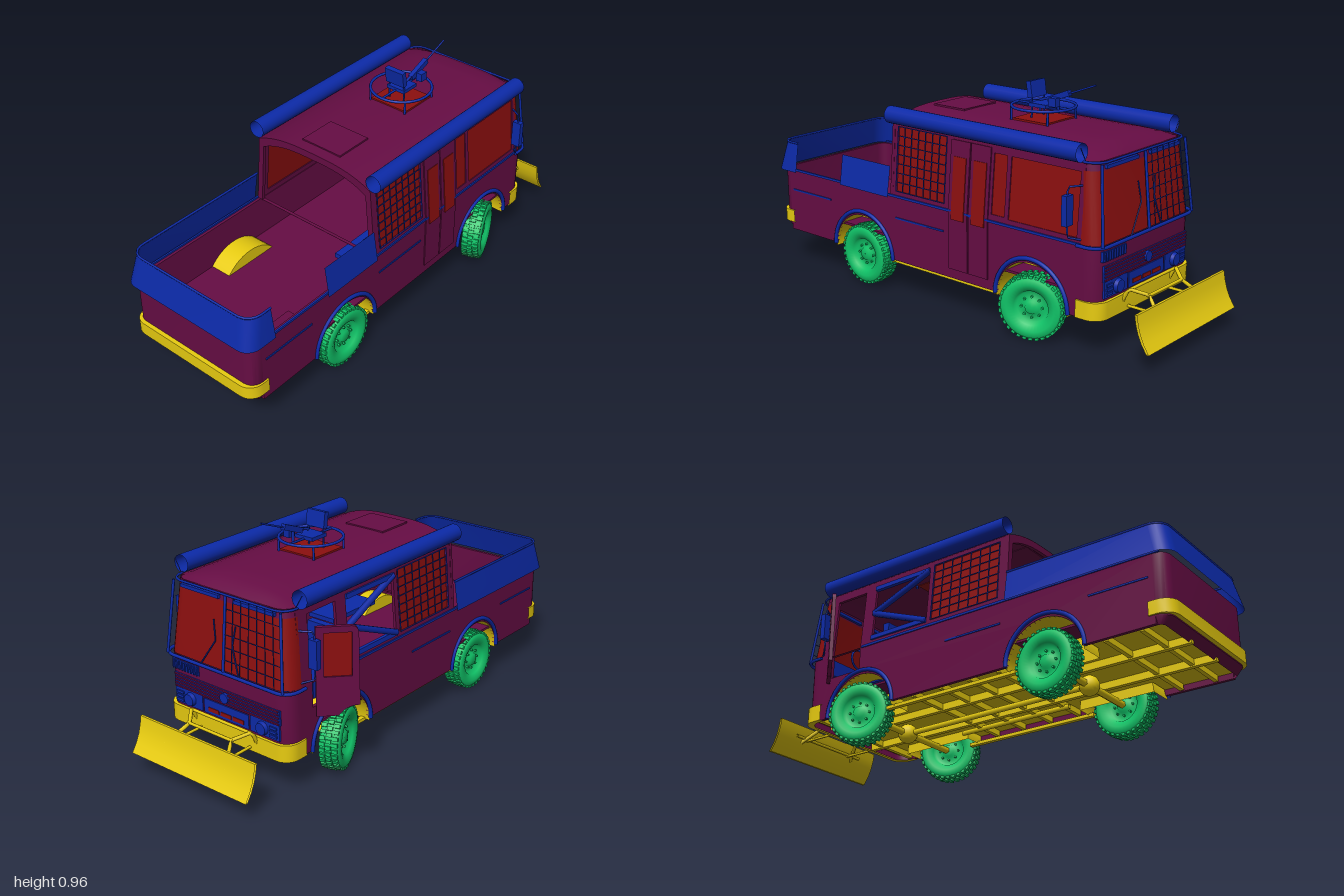
import * as THREE from 'three';
import { mergeGeometries, toCreasedNormals } from 'three/addons/utils/BufferGeometryUtils.js';

const mat = (color) => new THREE.MeshStandardMaterial({ color, side: THREE.DoubleSide });
const V = (x, y, z) => new THREE.Vector3(x, y, z);

export function createModel() {
  const PAINT = mat(0x660d44), RED = mat(0x8c0f0f), BLUE = mat(0x0c2aa8), GREEN = mat(0x10c468), YELLOW = mat(0xe8cc10);
  const root = new THREE.Group();
  root.name = 'truck';
  const truck = new THREE.Group();
  truck.name = 'truckBody';
  truck.position.z = 0.036;
  root.add(truck);

  const add = (name, geo, m, parent = truck) => {
    const mesh = new THREE.Mesh(geo, m);
    mesh.name = name;
    parent.add(mesh);
    return mesh;
  };
  // box given by its limits on each axis
  const box = (name, m, x0, x1, y0, y1, z0, z1, parent) => {
    const b = add(name, new THREE.BoxGeometry(x1 - x0, y1 - y0, z1 - z0), m, parent);
    b.position.set((x0 + x1) / 2, (y0 + y1) / 2, (z0 + z1) / 2);
    return b;
  };
  // bent pipe through straight segments
  const pipe = (name, m, r, pts, parent) => {
    const path = new THREE.CurvePath();
    for (let i = 1; i < pts.length; i++) path.add(new THREE.LineCurve3(pts[i - 1], pts[i]));
    return add(name, new THREE.TubeGeometry(path, Math.max(1, (pts.length - 1) * 4), r, 6), m, parent);
  };
  // surface through rows of points
  const loft = (name, m, rows) => {
    const pos = [], idx = [], n = rows[0].length;
    rows.forEach((row) => row.forEach((p) => pos.push(p.x, p.y, p.z)));
    for (let i = 0; i + 1 < rows.length; i++) for (let j = 0; j + 1 < n; j++) {
      const a = i * n + j;
      idx.push(a, a + 1, a + n, a + 1, a + n + 1, a + n);
    }
    const g = new THREE.BufferGeometry();
    g.setAttribute('position', new THREE.Float32BufferAttribute(pos, 3));
    g.setIndex(idx);
    return add(name, toCreasedNormals(g, 0.6), m);
  };
  // rounded U-shaped plan from one side around an end to the other
  const plan = (x0, x1, hw, y, r = 0.06) => {
    const s = Math.sign(x1 - x0), half = [V(x0, y, hw)];
    for (let i = 0; i <= 6; i++) {
      const t = (i / 6) * Math.PI / 2;
      half.push(V(x1 - s * r * (1 - Math.sin(t)), y, hw - r + r * Math.cos(t)));
    }
    return [...half, ...half.slice().reverse().map((p) => V(p.x, p.y, -p.z))];
  };
  const rect = (x0, x1, y0, y1, T = THREE.Path) => new T([[x0, y0], [x1, y0], [x1, y1], [x0, y1]].map((p) => new THREE.Vector2(...p)));
  const extrude = (s, depth) => new THREE.ExtrudeGeometry(s, { depth, bevelEnabled: false, curveSegments: 20 });
  const grid = (name, x0, x1, y0, y1, nx, ny, z, parent) => {
    for (let i = 0; i <= nx; i++) { const x = x0 + (x1 - x0) * i / nx; box(name, BLUE, x - 0.0015, x + 0.0015, y0, y1, z - 0.0015, z + 0.0015, parent); }
    for (let i = 0; i <= ny; i++) { const y = y0 + (y1 - y0) * i / ny; box(name, BLUE, x0, x1, y - 0.0015, y + 0.0015, z - 0.0015, z + 0.0015, parent); }
  };

  const AXLES = [-0.45, 0.47], WHEEL_Y = 0.135, ARCH = 0.172;

  // lower body sides with wheel arches; the -z side has the foot of a door opening
  for (const s of [1, -1]) {
    const sh = new THREE.Shape();
    sh.moveTo(-0.92, 0.15);
    for (const x of AXLES) {
      sh.lineTo(x - ARCH, 0.15);
      sh.absarc(x, WHEEL_Y, ARCH, Math.PI - 0.09, 0.09, true);
    }
    sh.lineTo(0.7, 0.15); sh.lineTo(0.7, 0.43);
    if (s < 0) [[0.64, 0.43], [0.64, 0.33], [0.48, 0.33], [0.48, 0.43]].forEach((p) => sh.lineTo(...p));
    sh.lineTo(-0.92, 0.43);
    add('lowerSide', extrude(sh, 0.015), PAINT).position.z = s > 0 ? 0.3 : -0.315;
    box('sideTrim', BLUE, -0.95, s > 0 ? 0.7 : 0.47, 0.427, 0.437, s * 0.316 - 0.004, s * 0.316 + 0.004);
    for (const [x0, x1] of [[-0.9, -0.65], [-0.25, 0.02]]) box('sideMolding', BLUE, x0, x1, 0.335, 0.342, s * 0.315 - 0.004, s * 0.315 + 0.004);
    box('sillRail', YELLOW, -0.3, 0.34, 0.128, 0.142, s * 0.28 - 0.01, s * 0.28 + 0.01);
    for (const x of AXLES) {
      const trim = add('archTrim', new THREE.TorusGeometry(0.177, 0.009, 8, 28, Math.PI), BLUE);
      trim.position.set(x, WHEEL_Y + 0.012, s * 0.316);
      // wheel housing: half drum with an inner wall
      const drum = add('wheelHousing', new THREE.CylinderGeometry(ARCH, ARCH, 0.11, 24, 1, true, Math.PI / 2, Math.PI), YELLOW);
      drum.rotation.x = Math.PI / 2;
      drum.position.set(x, WHEEL_Y, s * 0.258);
      add('housingWall', new THREE.CircleGeometry(ARCH, 24, 0, Math.PI), YELLOW).position.set(x, WHEEL_Y, s * 0.203);
    }
  }
  loft('frontEnd', PAINT, [plan(0.7, 0.765, 0.315, 0.15), plan(0.7, 0.778, 0.315, 0.22), plan(0.7, 0.778, 0.315, 0.435)]);
  loft('rearEnd', PAINT, [plan(-0.92, -0.94, 0.3, 0.15, 0.02), plan(-0.92, -0.972, 0.315, 0.18, 0.05), plan(-0.92, -0.972, 0.315, 0.43, 0.05)]);
  loft('rearInner', PAINT, [plan(-0.92, -0.972, 0.315, 0.43, 0.05), plan(-0.92, -0.957, 0.3, 0.43, 0.04), plan(-0.92, -0.957, 0.3, 0.25, 0.04)]);
  box('floor', PAINT, -0.95, 0.74, 0.24, 0.25, -0.305, 0.305);
  box('bedBox', PAINT, -0.81, -0.62, 0.25, 0.3, 0.165, 0.3);

  // bumpers
  const bumper = (name, x0, x1, y0, y1) => {
    const s = Math.sign(x1) * 0.02;
    loft(name, YELLOW, [plan(x0, x1 - s, 0.3, y1), plan(x0, x1, 0.322, y1), plan(x0, x1, 0.322, y0), plan(x0, x1 - s, 0.3, y0)]);
  };
  bumper('frontBumper', 0.685, 0.79, 0.15, 0.22);
  bumper('rearBumper', -0.895, -0.99, 0.185, 0.24);

  // armour boards round the load bed, leaning inward at the top
  const boards = (a, b) => loft('bedBoard', BLUE, [a, b]);
  const low = plan(-0.28, -1, 0.332, 0.425), high = plan(-0.28, -0.968, 0.312, 0.555);
  const clip = (row) => row.map((p, i) => (i === 0 ? V(-0.86, p.y, p.z) : p));
  boards(clip(low), clip(high));
  boards([V(-0.57, 0.425, 0.332), V(-0.28, 0.425, 0.332)], [V(-0.57, 0.555, 0.312), V(-0.28, 0.555, 0.312)]);
  pipe('boardRim', BLUE, 0.005, clip(high));

  // cab side walls, tilted inward
  for (const s of [1, -1]) {
    const wall = new THREE.Group();
    wall.name = 'cabSide';
    wall.position.set(0, 0.43, s * 0.315);
    wall.rotation.x = -s * 0.088;
    truck.add(wall);
    const windows = s > 0
      ? [[-0.245, 0.025, 0.025, 0.295, 'net'], [0.27, 0.335, 0.03, 0.27, 'glass'], [0.355, 0.68, 0.025, 0.27, 'glass']]
      : [[-0.235, 0.1, 0.025, 0.285, 'net'], [0.125, 0.42, 0.03, 0.27, 'brace'], [0.48, 0.64, 0.001, 0.27, 'open']];
    const sh = rect(-0.28, 0.7, 0, 0.31, THREE.Shape);
    for (const [x0, x1, y0, y1, type] of windows) {
      sh.holes.push(rect(x0, x1, y0, y1));
      if (type === 'net' || type === 'glass') box('sideGlass', RED, x0, x1, y0, y1, -s * 0.006 - 0.002, -s * 0.006 + 0.002, wall);
      if (type === 'net') grid('windowNet', x0, x1, y0, y1, 7, 7, s * 0.004, wall);
      if (type === 'brace') {
        const ym = (y0 + y1) / 2;
        for (const pts of [[V(x0, y0, 0), V(x1, ym, 0)], [V(x1, ym, 0), V(x0, y1, 0)]]) pipe('windowBrace', BLUE, 0.014, pts, wall);
        for (const y of [y0, y1]) box('braceRail', BLUE, x0, x1, y - 0.01, y + 0.01, -0.008, 0.008, wall);
      }
    }
    add('cabWall', extrude(sh, 0.012), PAINT, wall).position.z = s > 0 ? -0.012 : 0;
    // folding double door
    if (s > 0) for (const x of [0.05, 0.156]) {
      box('doorLeaf', PAINT, x, x + 0.1, 0, 0.29, 0, 0.005, wall);
      box('doorLeafLower', PAINT, x, x + 0.1, 0.19, 0.43, 0.315, 0.32);
      box('doorGlass', RED, x + 0.018, x + 0.084, -0.03, 0.225, 0.002, 0.008, wall);
    }
    // rolled awning, roof antenna, mirror
    const roll = add('rolledAwning', new THREE.CylinderGeometry(0.036, 0.036, 0.97, 20, 1, true), BLUE);
    roll.rotation.z = Math.PI / 2;
    roll.position.set(0.205, 0.772, s * 0.303);
    pipe('antenna', BLUE, 0.0018, [V(0.7, 0.735, s * 0.29), V(0.7, 0.795, s * 0.325)]);
    const mz = s * 0.345;
    box('mirror', BLUE, 0.648, 0.672, 0.505, 0.62, mz - 0.02, mz + 0.02);
    pipe('mirrorBracket', BLUE, 0.004, [V(0.69, 0.65, s * 0.295), V(0.66, 0.65, mz), V(0.66, 0.46, mz), V(0.7, 0.45, s * 0.31)]);
  }

  // windscreen and its guard frame
  loft('windscreen', RED, [plan(0.7, 0.776, 0.315, 0.435), plan(0.7, 0.748, 0.291, 0.705)]);
  loft('windscreenHeader', PAINT, [plan(0.7, 0.748, 0.291, 0.705), plan(0.7, 0.744, 0.288, 0.74)]);
  const at = (y, z) => V(0.788 - (y - 0.435) * 0.1, y, z * (1 - (y - 0.435) * 0.29));
  pipe('guardSill', BLUE, 0.007, plan(0.69, 0.79, 0.328, 0.432));
  pipe('guardTop', BLUE, 0.005, plan(0.69, 0.758, 0.294, 0.738));
  for (const z of [-0.3, 0, 0.3]) pipe('guardPost', BLUE, 0.006, [at(0.435, z), at(0.735, z)]);
  for (let i = 1; i < 7; i++) pipe('guardNet', BLUE, 0.0018, [at(0.44, -0.043 * i), at(0.735, -0.043 * i)]);
  for (let i = 1; i < 6; i++) pipe('guardNet', BLUE, 0.0018, [at(0.435 + 0.05 * i, 0), at(0.435 + 0.05 * i, -0.3)]);
  for (const s of [1, -1]) {
    pipe('wiper', BLUE, 0.003, [at(0.435, s * 0.1 + 0.02), at(0.55, s * 0.045), at(0.63, s * 0.06)]);
    box('headerBar', BLUE, 0.735, 0.758, 0.712, 0.726, s * 0.14 - 0.1, s * 0.14 + 0.1);
  }

  // front fascia
  box('grille', BLUE, 0.765, 0.781, 0.295, 0.357, -0.277, 0.277);
  for (let i = 0; i < 5; i++) box('grilleBar', PAINT, 0.77, 0.786, 0.298 + i * 0.013, 0.304 + i * 0.013, -0.272, 0.272);
  const disc = add('grilleDisc', new THREE.CylinderGeometry(0.021, 0.021, 0.012, 24), BLUE);
  disc.rotation.z = Math.PI / 2;
  disc.position.set(0.786, 0.326, 0);
  box('centrePanel', BLUE, 0.765, 0.782, 0.23, 0.29, -0.118, 0.118);
  for (const z of [-0.065, 0, 0.065]) box('redMarker', RED, 0.77, 0.785, 0.243, 0.259, z - 0.028, z + 0.028);
  box('airVent', BLUE, 0.76, 0.781, 0.373, 0.413, 0.14, 0.285);
  for (let i = 0; i < 9; i++) box('ventSlat', BLUE, 0.77, 0.787, 0.375, 0.411, 0.146 + i * 0.016, 0.151 + i * 0.016);
  for (const s of [1, -1]) {
    box('lampHousing', BLUE, 0.76, 0.782, 0.23, 0.295, s * 0.2 - 0.074, s * 0.2 + 0.074);
    const lamp = add('headlamp', new THREE.CylinderGeometry(0.024, 0.029, 0.02, 24), BLUE);
    lamp.rotation.z = -Math.PI / 2;
    lamp.position.set(0.787, 0.262, s * 0.19);
    for (let i = 0; i < 3; i++) box('lampSlat', BLUE, 0.775, 0.788, 0.24 + i * 0.017, 0.25 + i * 0.017, s * 0.245 - 0.018, s * 0.245 + 0.018);
  }

  // domed roof, open rear frame and hatch
  const section = (x, hw, y0, h) => Array.from({ length: 17 }, (_, i) => {
    const t = i / 8 - 1;
    return V(x, y0 + h * (1 - Math.abs(t) ** 3), t * hw);
  });
  loft('roof', PAINT, [[-0.28, 0.29, 0.735, 0.049], [0.6, 0.29, 0.735, 0.049], [0.68, 0.289, 0.735, 0.042], [0.72, 0.275, 0.735, 0.028], [0.745, 0.23, 0.735, 0.005]].map((a) => section(...a)));
  const dome = section(0, 0.29, 0.735, 0.048).map((p) => new THREE.Vector2(p.z, p.y));
  const rear = new THREE.Shape([...dome, new THREE.Vector2(0.315, 0.43), new THREE.Vector2(-0.315, 0.43)]);
  rear.holes.push(new THREE.Path([...dome.map((p) => new THREE.Vector2(p.x * 0.92, p.y - 0.03)), new THREE.Vector2(0.29, 0.431), new THREE.Vector2(-0.29, 0.431)]));
  const frame = add('rearFrame', extrude(rear, 0.015), PAINT);
  frame.rotation.y = Math.PI / 2;
  frame.position.x = -0.28;
  box('roofHatch', PAINT, -0.23, -0.06, 0.78, 0.789, -0.097, 0.097);

  // roof turret: ring on posts, seat, shield and gun
  const ring = add('turretRing', new THREE.TorusGeometry(0.128, 0.006, 8, 40), BLUE);
  ring.rotation.x = Math.PI / 2;
  ring.position.set(0.275, 0.838, 0);
  box('turretHatch', RED, 0.19, 0.36, 0.78, 0.79, -0.09, 0.09);
  for (let i = 0; i < 4; i++) {
    const a = Math.PI / 4 + i * Math.PI / 2, c = Math.cos(a), d = Math.sin(a);
    pipe('ringPost', BLUE, 0.005, [V(0.275 + c * 0.128, 0.77, d * 0.128), V(0.275 + c * 0.128, 0.838, d * 0.128)]);
  }
  pipe('ringRail', BLUE, 0.005, [V(0.15, 0.838, 0), V(0.4, 0.838, 0)]);
  for (const s of [1, -1]) pipe('seatPost', BLUE, 0.004, [V(0.245, 0.78, s * 0.038), V(0.245, 0.88, s * 0.038)]);
  box('seatPad', BLUE, 0.235, 0.32, 0.835, 0.85, -0.045, 0.045);
  box('shield', BLUE, 0.226, 0.248, 0.868, 0.935, -0.046, 0.046).rotation.z = 0.15;
  pipe('gunMount', BLUE, 0.006, [V(0.36, 0.835, 0.018), V(0.36, 0.885, 0.018)]);
  pipe('gunBarrel', BLUE, 0.004, [V(0.4, 0.9, 0.018), V(0.538, 0.953, 0.018)]);
  box('gunBody', BLUE, 0.31, 0.42, 0.877, 0.9, 0.008, 0.028).rotation.z = 0.37;
  pipe('gunStock', BLUE, 0.006, [V(0.27, 0.862, 0.018), V(0.33, 0.88, 0.018)]);
  box('ammoBox', BLUE, 0.34, 0.375, 0.85, 0.885, 0.026, 0.055);

  // opened front door
  const door = new THREE.Group();
  door.name = 'openDoor';
  door.position.set(0.635, 0, -0.325);
  door.rotation.y = 2.377;
  truck.add(door);
  const leaf = new THREE.Shape();
  leaf.moveTo(0, 0.3); leaf.lineTo(0.085, 0.3);
  leaf.quadraticCurveTo(0.11, 0.34, 0.165, 0.34);
  leaf.lineTo(0.16, 0.635); leaf.quadraticCurveTo(0.155, 0.66, 0.13, 0.66); leaf.lineTo(0, 0.66);
  leaf.holes.push(rect(0.03, 0.135, 0.46, 0.635));
  add('doorPanel', extrude(leaf, 0.016), PAINT, door);
  box('doorWindow', RED, 0.03, 0.135, 0.46, 0.635, 0.006, 0.01, door);

  // cab interior
  box('benchSeat', BLUE, -0.29, 0, 0.34, 0.36, 0.12, 0.26);
  box('benchBack', BLUE, -0.29, 0, 0.38, 0.5, 0.265, 0.28);
  box('dashboard', BLUE, 0.66, 0.74, 0.36, 0.43, -0.28, 0.28);
  for (const s of [1, -1]) {
    box('cabSeat', BLUE, 0.42, 0.54, 0.3, 0.37, s * 0.17 - 0.06, s * 0.17 + 0.06);
    box('cabSeatBack', BLUE, 0.4, 0.43, 0.37, 0.56, s * 0.17 - 0.06, s * 0.17 + 0.06);
  }
  const steering = add('steeringWheel', new THREE.TorusGeometry(0.045, 0.005, 6, 24), BLUE);
  steering.position.set(0.62, 0.46, -0.17);
  steering.rotation.y = Math.PI / 2;

  // underside: plate notched round the wheels, rails, crossmembers, axles
  const half = [[-0.95, 0.3], [-0.62, 0.3], [-0.62, 0.2], [-0.28, 0.2], [-0.28, 0.3], [0.3, 0.3], [0.3, 0.2], [0.64, 0.2], [0.64, 0.3], [0.76, 0.29]];
  const belly = new THREE.Shape([...half, ...half.slice().reverse().map(([x, z]) => [x, -z])].map((p) => new THREE.Vector2(...p)));
  const plate = add('bellyPlate', extrude(belly, 0.01), YELLOW);
  plate.rotation.x = Math.PI / 2;
  plate.position.y = 0.185;
  for (const s of [1, -1]) box('chassisRail', YELLOW, -0.95, 0.76, 0.145, 0.175, s * 0.1 - 0.01, s * 0.1 + 0.01);
  for (const x of [-0.85, -0.7, -0.22, -0.08, 0.06, 0.2, 0.7]) box('crossMember', YELLOW, x - 0.009, x + 0.009, 0.15, 0.175, -0.29, 0.29);
  pipe('driveShaft', YELLOW, 0.012, [V(-0.45, 0.135, 0), V(0.47, 0.135, 0)]);
  pipe('exhaust', YELLOW, 0.011, [V(0.3, 0.15, 0.17), V(-0.25, 0.15, 0.17)]);

  // wheels: lathe tyre with hub, tread lugs around it
  const profile = [[0.001, 0.03], [0.025, 0.03], [0.03, 0.018], [0.062, 0.014], [0.07, 0.034], [0.095, 0.044], [0.115, 0.041], [0.125, 0.032], [0.127, 0]];
  const tyre = new THREE.LatheGeometry([...profile, ...profile.slice(0, -1).reverse().map(([r, y]) => [r, -y])].map((p) => new THREE.Vector2(...p)), 40);
  tyre.rotateX(Math.PI / 2);
  const parts = [];
  for (let i = 0; i < 32; i++) for (const k of [-1, 0, 1]) {
    const lug = new THREE.BoxGeometry(0.015, 0.01, 0.022);
    lug.translate(0, k ? 0.1255 : 0.128, k * 0.026);
    lug.rotateZ(((i + (k ? 0 : 0.5)) / 32) * Math.PI * 2);
    parts.push(lug);
  }
  for (let i = 0; i < 8; i++) for (const s of [1, -1]) {
    const nut = new THREE.CylinderGeometry(0.005, 0.005, 0.012, 6).rotateX(Math.PI / 2);
    nut.translate(0.042 * Math.cos(i * Math.PI / 4), 0.042 * Math.sin(i * Math.PI / 4), s * 0.02);
    parts.push(nut);
  }
  const treads = mergeGeometries(parts);
  for (const x of AXLES) {
    pipe('axle', YELLOW, 0.016, [V(x, WHEEL_Y, -0.27), V(x, WHEEL_Y, 0.27)]);
    add('differential', new THREE.SphereGeometry(0.042, 16, 12), YELLOW).position.set(x, WHEEL_Y, 0);
    for (const s of [1, -1]) {
      const wheel = new THREE.Group();
      wheel.name = x > 0 ? 'frontWheel' : 'rearWheel';
      wheel.position.set(x, WHEEL_Y - 0.002, s * (x > 0 ? 0.297 : 0.28));
      if (x > 0) wheel.rotation.y = 0.36;
      add('tyre', tyre, GREEN, wheel);
      add('tread', treads, GREEN, wheel);
      truck.add(wheel);
    }
  }

  // plough blade and its carrying frame
  const curve = [[0.945, 0.22], [0.951, 0.185], [0.961, 0.15], [0.977, 0.115], [1, 0.08]];
  const edge = (z) => [...curve.map(([x, y]) => V(x, y, z)), ...curve.slice().reverse().map(([x, y]) => V(x - 0.01, y, z)), V(0.945, 0.22, z)];
  loft('ploughBlade', YELLOW, [edge(-0.303), edge(0.303)]);
  for (const s of [1, -1]) {
    pipe('ploughArm', YELLOW, 0.008, [V(0.77, 0.165, s * 0.16), V(0.81, 0.245, s * 0.16), V(0.87, 0.22, s * 0.11), V(0.955, 0.15, s * 0.16)]);
    pipe('ploughStrut', YELLOW, 0.006, [V(0.78, 0.165, s * 0.13), V(0.955, 0.165, s * 0.13)]);
  }
  for (const [x, y, w] of [[0.81, 0.24, 0.16], [0.87, 0.22, 0.12], [0.94, 0.17, 0.2]]) pipe('ploughCrossbar', YELLOW, 0.007, [V(x, y, -w), V(x, y, w)]);
  return root;
}
